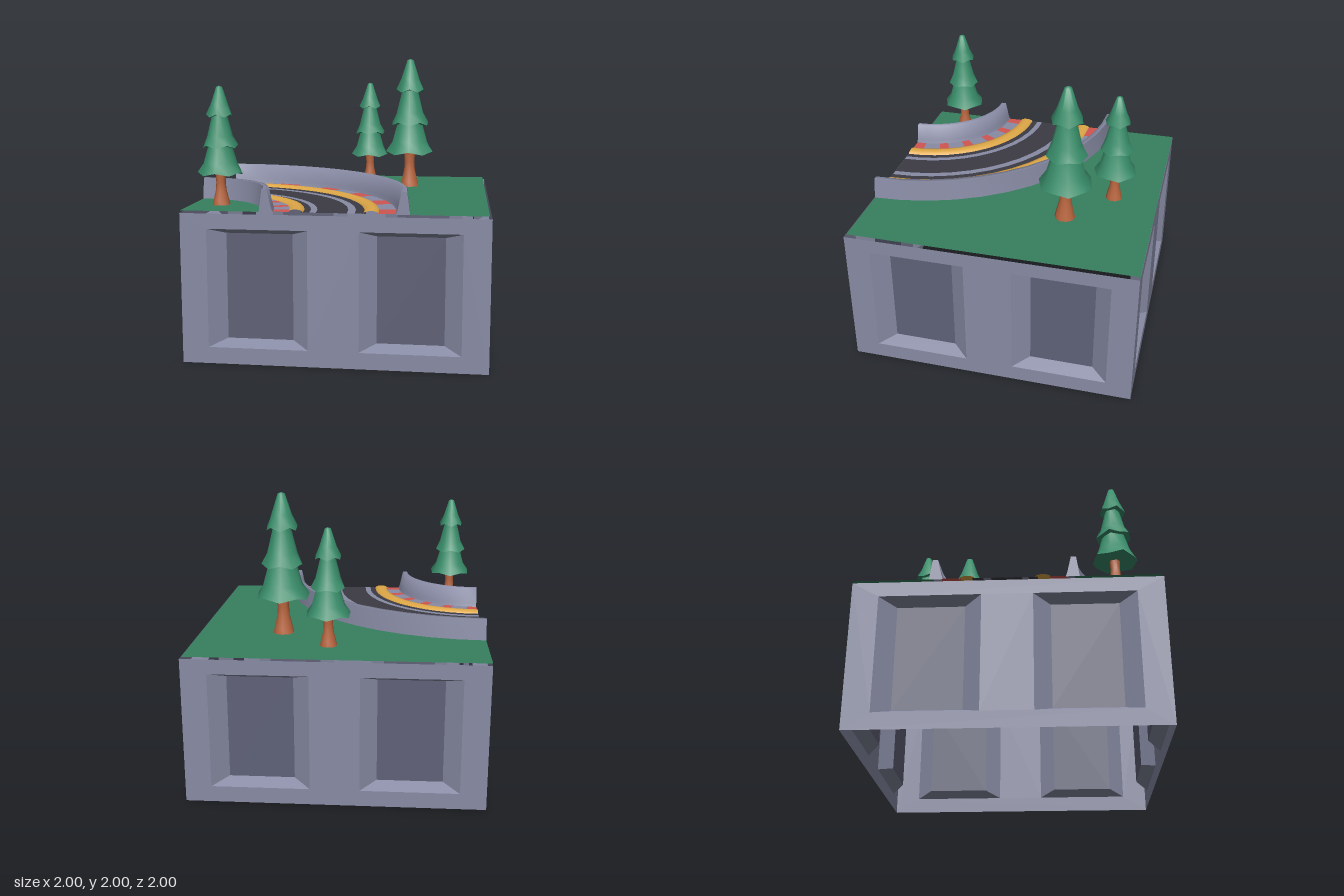
import * as THREE from 'three';
import { toCreasedNormals } from 'three/addons/utils/BufferGeometryUtils.js';

const mat = (name, color) => {
  const m = new THREE.MeshStandardMaterial({ color, side: THREE.DoubleSide });
  m.name = name;
  return m;
};

export function createModel() {
  const grey = mat('stone grey', 0x888ba4);
  const panelGrey = mat('panel grey', 0x5f6177);
  const grass = mat('grass green', 0x36805f);
  const leaf = mat('leaf green', 0x3a8f6c);
  const bark = mat('bark brown', 0xb9663f);
  const asphalt = mat('asphalt', 0x3c3b43);
  const yellow = mat('kerb yellow', 0xdfa847);
  const red = mat('kerb red', 0xd05651);

  const model = new THREE.Group();
  model.name = 'raisedTrackCorner';
  const add = (parent, name, geo, material) => {
    const m = new THREE.Mesh(geo, material);
    m.name = name;
    parent.add(m);
    return m;
  };
  const path = (pts, Type = THREE.Shape) => new Type(pts.map(p => new THREE.Vector2(...p)));
  const rect = (cx, cy, w, h) => [[cx - w, cy - h], [cx + w, cy - h], [cx + w, cy + h], [cx - w, cy + h]];

  // Hollow base: four thin walls, each with two panels at the bottom of splayed recesses
  const depth = 0.09;
  const openW = 0.33, openH = 0.395, panelW = 0.22, panelH = 0.355;
  const panelXs = [-0.495, 0.495];
  const wallShape = path(rect(0, 0.5, 1, 0.5));
  for (const x of panelXs) wallShape.holes.push(path(rect(x, 0.505, openW, openH), THREE.Path));
  const wallGeo = new THREE.ShapeGeometry(wallShape);
  const panelGeo = new THREE.PlaneGeometry(panelW * 2, panelH * 2);
  const corners = [
    ...rect(0, 0, openW, openH).map(p => [...p, 0]),
    ...rect(0, 0, panelW, panelH).map(p => [...p, -depth]),
  ];
  const recessPos = [];
  for (let i = 0; i < 4; i++) {
    const j = (i + 1) % 4;
    for (const k of [i, j, j + 4, i, j + 4, i + 4]) recessPos.push(...corners[k]);
  }
  const recessGeo = new THREE.BufferGeometry();
  recessGeo.setAttribute('position', new THREE.Float32BufferAttribute(recessPos, 3));
  recessGeo.computeVertexNormals();
  ['front', 'left', 'back', 'right'].forEach((side, i) => {
    const wall = new THREE.Group();
    wall.name = side + 'Wall';
    wall.rotation.y = i * Math.PI / 2;
    add(wall, 'wall', wallGeo, grey).position.z = 1;
    for (const x of panelXs) {
      add(wall, 'recess', recessGeo, grey).position.set(x, 0.505, 1);
      add(wall, 'panel', panelGeo, panelGrey).position.set(x, 0.505, 1 - depth);
    }
    model.add(wall);
  });

  // Everything on the bend turns around one corner of the base
  const bend = new THREE.Group();
  bend.name = 'bend';
  bend.position.set(-1, 1.015, 0.985);
  model.add(bend);
  const quarter = Math.PI / 2;

  // Grass on both sides of the bend; shape y points to -z
  const outer = new THREE.Shape();
  outer.moveTo(1.46, 0);
  outer.lineTo(1.985, 0);
  outer.lineTo(1.985, 1.985);
  outer.lineTo(0, 1.985);
  outer.lineTo(0, 1.46);
  outer.absarc(0, 0, 1.46, quarter, 0, true);
  const inner = new THREE.Shape();
  inner.moveTo(0, 0);
  inner.lineTo(0.55, 0);
  inner.absarc(0, 0, 0.55, 0, quarter, false);
  for (const [name, s] of [['outerGrass', outer], ['innerGrass', inner]]) {
    add(bend, name, new THREE.ShapeGeometry(s, 12).rotateX(-quarter), grass);
  }

  // Sweep a profile of [radius, height] from angle a to b, in degrees from -z
  const sweep = (name, pts, material, a = 0, b = 90, seg = 12) => {
    const rad = THREE.MathUtils.degToRad;
    const geo = new THREE.LatheGeometry(pts.map(p => new THREE.Vector2(...p)), seg, Math.PI - rad(b), rad(b - a));
    return add(bend, name, toCreasedNormals(geo, 1.35), material);
  };
  const flat = (r0, r1, y = 0.002) => [[r1, y], [r0, y]];

  // Road bands
  const bands = [0.79, 0.848, 0.89, 1.09, 1.14, 1.21];
  for (let i = 0; i < 5; i++) {
    const line = i % 2 === 1;
    sweep(line ? 'laneLine' : 'roadBand', flat(bands[i], bands[i + 1]), line ? grey : asphalt);
  }

  // Rounded yellow kerbs
  for (const [name, r] of [['innerYellowKerb', 0.757], ['outerYellowKerb', 1.244]]) {
    sweep(name, [[r + 0.05, 0], [r + 0.042, 0.012], [r + 0.015, 0.02],
      [r - 0.015, 0.02], [r - 0.042, 0.012], [r - 0.05, 0]], yellow);
  }

  // Grey and red kerb blocks
  for (const [side, r0, r1, half] of [['inner', 0.6, 0.715, 3], ['outer', 1.285, 1.41, 3.6]]) {
    let from = 0;
    for (let i = 0; i < 6; i++) {
      const mid = 3.6 + i * 16.5;
      const a = i === 0 ? 0 : mid - half;
      const b = i === 5 ? 90 : mid + half;
      if (a > from) sweep(side + 'GreyKerb', flat(r0, r1, 0.004), grey, from, a, 2);
      sweep(side + 'RedKerb', flat(r0, r1, 0.004), red, a, b, 1);
      from = b;
    }
  }

  // Barriers, sloping towards the road, with closed ends
  const barrier = [[0, 0], [0.01, 0.03], [0.036, 0.145], [0.07, 0.145], [0.09, 0]];
  for (const [name, r, dir] of [['innerBarrier', 0.61, -1], ['outerBarrier', 1.40, 1]]) {
    const pts = barrier.map(([d, y]) => [r + dir * d, y]);
    if (dir > 0) pts.reverse();
    sweep(name, pts, grey);
    const cap = new THREE.ShapeGeometry(path(pts));
    add(bend, name + 'End', cap, grey);
    add(bend, name + 'End', cap, grey).rotation.y = quarter;
  }

  // Fir trees: three flared tiers with ragged rims on a flared trunk
  const tiers = [
    [[0, 0.21], [0.153, 0.205], [0.112, 0.28], [0.075, 0.41]],
    [[0, 0.39], [0.119, 0.385], [0.085, 0.46], [0.05, 0.6]],
    [[0, 0.6], [0.089, 0.59], [0.058, 0.67], [0.02, 0.785], [0, 0.793]],
  ];
  const sides = 10;
  const tierGeos = tiers.map((pts, t) => {
    const geo = new THREE.LatheGeometry(pts.map(p => new THREE.Vector2(...p)), sides);
    const pos = geo.attributes.position;
    for (let i = 0; i <= sides; i++) {
      const v = i * pts.length + 1;
      const k = (i + t) % 2 ? 0.96 : 1;
      pos.setXYZ(v, pos.getX(v) * k, pos.getY(v) + (k < 1 ? -0.004 : 0.016), pos.getZ(v) * k);
    }
    return toCreasedNormals(geo, 1.1);
  });
  const trunkPts = [[0, -0.006], [0.06, -0.006], [0.052, 0.03], [0.035, 0.1], [0.032, 0.15], [0.036, 0.22]];
  const trunkGeo = toCreasedNormals(
    new THREE.LatheGeometry(trunkPts.map(p => new THREE.Vector2(...p)), sides), 0.8);
  for (const [x, z, s] of [[-0.8, 0.71, 1], [0.063, -0.685, 1], [0.403, -0.395, 1.235]]) {
    const tree = new THREE.Group();
    tree.name = 'tree';
    tree.position.set(x, 1.018, z);
    tree.scale.setScalar(s);
    add(tree, 'trunk', trunkGeo, bark);
    tierGeos.forEach(g => add(tree, 'foliageTier', g, leaf));
    model.add(tree);
  }
  return model;
}
